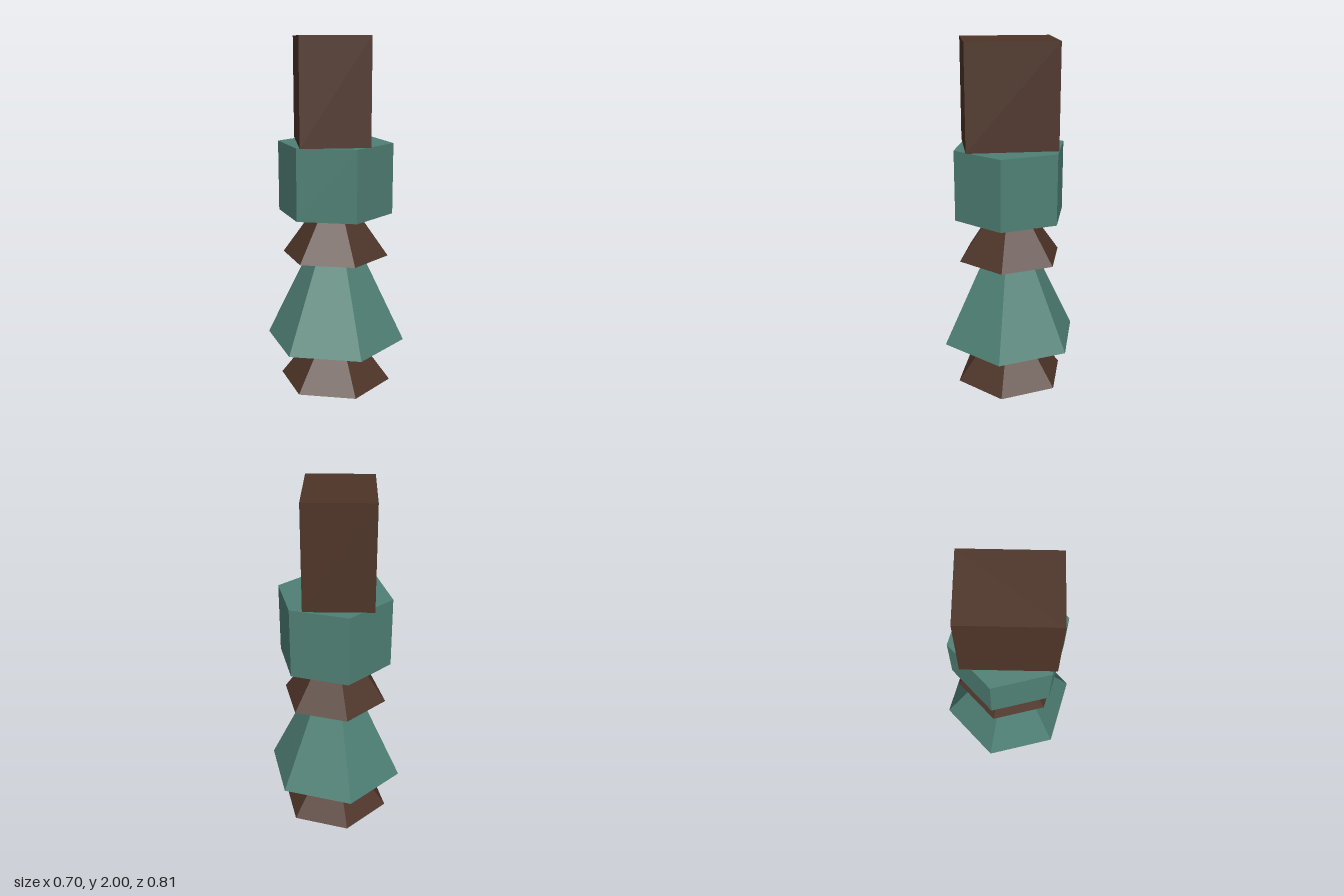
import * as THREE from 'three';

const material = (color) => new THREE.MeshStandardMaterial({ color, flatShading: true, side: THREE.DoubleSide });

export function createModel() {
  const model = new THREE.Group();
  const brown = material(0x4e3428);
  const green = material(0x4f8075);

  const add = (name, geometry, mat, x, y, z) => {
    const mesh = new THREE.Mesh(geometry, mat);
    mesh.name = name;
    mesh.position.set(x, y, z);
    model.add(mesh);
    return mesh;
  };

  // Six-sided cones, each tip hidden inside the part above; the foot is hollow
  const cones = [
    ['footCone', 0.327, 0, 0.43, brown, true],
    ['skirtCone', 0.405, 0.26, 0.84, green, false],
    ['collarCone', 0.306, 0.77, 0.43, brown, false],
  ];
  for (const [name, radius, base, height, mat, open] of cones) {
    add(name, new THREE.ConeGeometry(radius, height, 6, 1, open), mat, 0, base + height / 2, 0);
  }

  // Hexagonal block
  add('hexBlock', new THREE.CylinderGeometry(0.328, 0.328, 0.4, 6), green, 0, 1.22, 0);

  // Twisted, slightly off-centre top block
  const top = add('topBlock', new THREE.BoxGeometry(0.38, 0.58, 0.506), brown, -0.026, 1.71, -0.002);
  top.rotation.y = -0.253;

  return model;
}
